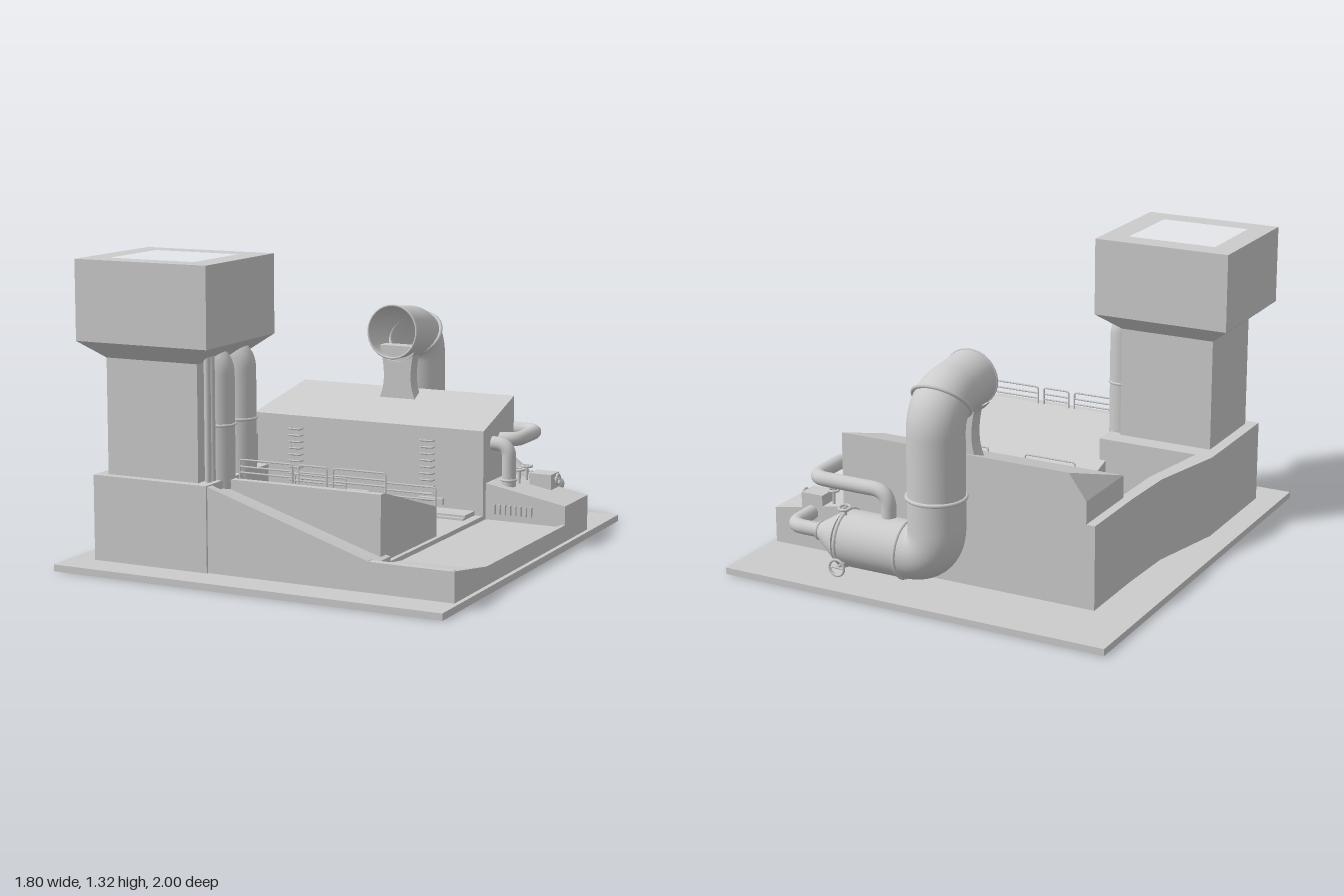
import * as THREE from 'three';
import { ConvexGeometry } from 'three/addons/geometries/ConvexGeometry.js';

const V = (x, y, z) => new THREE.Vector3(x, y, z);

export function createModel() {
  const root = new THREE.Group();
  const grey = new THREE.MeshStandardMaterial({ color: 0xcccccc });
  const thin = new THREE.MeshStandardMaterial({ color: 0xcccccc, side: THREE.DoubleSide });

  const add = (name, geo, mat = grey) => {
    const m = new THREE.Mesh(geo, mat);
    m.name = name;
    root.add(m);
    return m;
  };
  const box = (name, x0, x1, y0, y1, z0, z1) =>
    add(name, new THREE.BoxGeometry(x1 - x0, y1 - y0, z1 - z0)
      .translate((x0 + x1) / 2, (y0 + y1) / 2, (z0 + z1) / 2));
  const shapeOf = (pts) => new THREE.Shape(pts.map(([a, b]) => new THREE.Vector2(a, b)));
  const extrude = (shape, depth) => new THREE.ExtrudeGeometry(shape, { depth, bevelEnabled: false });
  // profile in x,y pushed along z
  const alongZ = (name, pts, z0, z1) => add(name, extrude(shapeOf(pts), z1 - z0).translate(0, 0, z0));
  // profile in z,y pushed along x
  const alongX = (name, pts, x0, x1) =>
    add(name, extrude(shapeOf(pts), x1 - x0).rotateY(-Math.PI / 2).translate(x1, 0, 0));
  // plan in x,z pushed up y
  const alongY = (name, pts, y0, y1, hole) => {
    const s = shapeOf(pts.map(([x, z]) => [x, -z]));
    if (hole) s.holes.push(shapeOf(hole.map(([x, z]) => [x, -z])));
    return add(name, extrude(s, y1 - y0).rotateX(-Math.PI / 2).translate(0, y0, 0));
  };
  const rect = (x0, x1, z0, z1) => [[x0, z0], [x1, z0], [x1, z1], [x0, z1]];
  // tube through corner points with rounded bends
  const pipe = (name, pts, r, bend = 0.06, sides = 20, segs = 48) => {
    const p = pts.map((a) => V(...a));
    const path = new THREE.CurvePath();
    let from = p[0];
    for (let i = 1; i < p.length - 1; i++) {
      const a = p[i].clone().add(p[i - 1].clone().sub(p[i]).setLength(bend));
      const b = p[i].clone().add(p[i + 1].clone().sub(p[i]).setLength(bend));
      path.add(new THREE.LineCurve3(from, a));
      path.add(new THREE.QuadraticBezierCurve3(a, p[i], b));
      from = b;
    }
    path.add(new THREE.LineCurve3(from, p[p.length - 1]));
    return add(name, new THREE.TubeGeometry(path, p.length > 2 ? segs : 1, r, sides), thin);
  };
  // cylinder or cone between two points
  const rod = (name, a, b, r0, r1 = r0, sides = 20) => {
    const A = V(...a), B = V(...b), d = B.clone().sub(A);
    const m = add(name, new THREE.CylinderGeometry(r1, r0, d.length(), sides));
    m.position.copy(A).lerp(B, 0.5);
    m.quaternion.setFromUnitVectors(V(0, 1, 0), d.normalize());
    return m;
  };
  const ring = (name, c, axis, r, t) => {
    const m = add(name, new THREE.TorusGeometry(r, t, 8, 32));
    m.position.set(...c);
    m.quaternion.setFromUnitVectors(V(0, 0, 1), V(...axis).normalize());
  };

  box('basePlate', -0.9, 0.9, 0, 0.03, -1, 1);

  // Chimney tower
  box('towerBase', -0.79, -0.24, 0.03, 0.4, 0.31, 0.85);
  box('towerShaft', -0.74, -0.3, 0.4, 0.92, 0.4, 0.81);
  const corners = (x0, x1, y, z0, z1) => rect(x0, x1, z0, z1).map(([x, z]) => V(x, y, z));
  add('towerFlare', new ConvexGeometry([
    ...corners(-0.74, -0.3, 0.9, 0.4, 0.81), ...corners(-0.835, -0.205, 0.975, 0.315, 0.895)]));
  alongY('towerHead', rect(-0.835, -0.205, 0.315, 0.895), 0.975, 1.32, rect(-0.73, -0.32, 0.42, 0.79));
  for (const [z, r] of [[0.66, 0.06], [0.485, 0.065]]) {
    pipe('towerPipe', [[-0.275, 0.25, z], [-0.275, 0.91, z], [-0.42, 0.91, z]], r, 0.07);
    ring('towerPipeCollar', [-0.275, 0.63, z], [0, 1, 0], r, 0.006);
  }
  for (const z of [0.77, 0.735]) rod('thinTowerPipe', [-0.275, 0.39, z], [-0.275, 0.95, z], 0.014, 0.014, 12);

  // Main hall with a sloping roof and a hipped left end
  const hall = (x, h) => [V(x, 0.03, -0.68), V(x, 0.03, -0.33), V(x, h, -0.68), V(x, Math.min(h, 0.5), -0.33)];
  add('hall', new ConvexGeometry([...hall(0.5, 0.61), ...hall(-0.58, 0.61), ...hall(-0.66, 0.5),
    V(-0.66, 0.41, -0.33)]));

  // Left wall following the kinked side
  alongY('leftWall', [[-0.7, -0.68], [-0.7, -0.33], [-0.71, -0.05], [-0.79, 0.31],
    [-0.71, 0.31], [-0.65, -0.05], [-0.64, -0.68]], 0.03, 0.4);
  box('leftWallDoor', -0.66, -0.625, 0.2, 0.28, -0.2, -0.14);
  alongY('courtFloor', [[-0.7, -0.34], [0.5, -0.34], [0.5, 0.64], [-0.74, 0.64], [-0.74, 0.3], [-0.68, -0.05]], 0.03, 0.115);
  box('courtStep', -0.24, 0.46, 0.11, 0.135, -0.34, -0.22);
  box('courtStep', -0.62, 0.46, 0.11, 0.125, -0.34, -0.2);
  box('courtCabinet', -0.46, -0.36, 0.11, 0.18, 0.04, 0.25);
  for (const x of [-0.12, 0.25]) box('hallVent', x - 0.06, x + 0.06, 0.15, 0.18, -0.34, -0.31);

  // Front block with a roof sloping down to the court
  alongX('frontBlock', [[0.13, 0.03], [0.13, 0.245], [0.645, 0.4], [0.68, 0.4], [0.68, 0.03]], -0.27, 0.48);
  pipe('drainPipe', [[-0.28, 0.18, 0.2], [-0.28, 0.18, 0.08], [-0.28, 0.11, 0.08]], 0.03, 0.04);
  for (const x of [-0.2, 0.07, 0.22]) box('rearVent', x - 0.05, x + 0.05, 0.17, 0.2, 0.105, 0.14);

  // Railings
  const railing = (x0, x1, y, z) => {
    const t = 0.004;
    pipe('railingFrame', [[x0, y, z], [x0, y + 0.08, z], [x1, y + 0.08, z], [x1, y, z]], t, 0.012, 6, 40);
    for (const h of [0.025, 0.05]) rod('railingBar', [x0, y + h, z], [x1, y + h, z], t, t, 6);
  };
  for (const [x0, x1] of [[-0.2, 0.05], [0.08, 0.21], [0.24, 0.48]]) {
    railing(x0, x1, 0.4, 0.635);
    if (x1 !== 0.21) railing(x0, x1, 0.25, 0.14);
  }

  // Ladder rungs on the hall front
  for (const x of [-0.44, 0.23]) for (let i = 0; i < 11; i++) {
    const y = 0.14 + i * 0.03;
    pipe('ladderRung', [[x - 0.03, y, -0.34], [x - 0.03, y, -0.305], [x + 0.03, y, -0.305], [x + 0.03, y, -0.34]],
      0.0045, 0.01, 6, 16);
  }

  // Sloping front apron and right terrace
  alongZ('frontApron', [[-0.24, 0.03], [0.5, 0.03], [0.5, 0.135], [-0.24, 0.365]], 0.63, 0.81);
  alongZ('frontApronLip', [[-0.24, 0.03], [0.5, 0.03], [0.5, 0.16], [-0.24, 0.395]], 0.8, 0.84);
  alongX('rightTerrace', [[-0.36, 0.03], [-0.36, 0.095], [0.52, 0.095], [0.82, 0.135], [0.82, 0.03]], 0.49, 0.87);
  alongX('rightTerraceLip', [[-0.36, 0.03], [-0.36, 0.105], [0.52, 0.11], [0.84, 0.16], [0.84, 0.03]], 0.86, 0.88);
  box('frontTerraceLip', 0.5, 0.87, 0.03, 0.158, 0.805, 0.84);

  // Side shed with a grille
  alongZ('sideShed', [[0.49, 0.03], [0.88, 0.03], [0.88, 0.19], [0.49, 0.262]], -0.64, -0.36);
  for (let i = 0; i < 8; i++) box('grilleSlat', 0.54 + i * 0.025, 0.55 + i * 0.025, 0.125, 0.17, -0.365, -0.345);

  // Large duct rising behind the hall and turning forward
  pipe('largeDuct', [[0.4, 0.2, -0.815], [-0.04, 0.2, -0.815], [-0.04, 0.86, -0.815], [-0.04, 0.892, -0.515]],
    0.122, 0.13, 36, 100);
  rod('ductReducer', [0.4, 0.2, -0.815], [0.53, 0.2, -0.805], 0.122, 0.04, 36);
  ring('ductFlange', [-0.04, 0.46, -0.815], [0, 1, 0], 0.124, 0.009);
  ring('ductFlange', [0.1, 0.2, -0.815], [1, 0, 0], 0.123, 0.008);
  ring('ductFlange', [0.39, 0.2, -0.815], [1, 0, 0], 0.123, 0.008);
  ring('ductFlange', [-0.04, 0.855, -0.765], [0, 0.7, 0.7], 0.126, 0.009);
  ring('ductMouthRim', [-0.04, 0.892, -0.515], [0, 0.1, 1], 0.122, 0.005);

  // Flared stand under the duct mouth
  const stand = new THREE.Shape();
  stand.moveTo(-0.145, 0.55);
  stand.quadraticCurveTo(-0.08, 0.64, -0.13, 0.82);
  stand.lineTo(0.05, 0.82);
  stand.quadraticCurveTo(0, 0.64, 0.065, 0.55);
  add('ductStand', extrude(stand, 0.07).translate(0, 0, -0.64));
  const saddle = add('ductSaddle', new THREE.CylinderGeometry(0.132, 0.132, 0.1, 24, 1, true, -1, 2), thin);
  saddle.rotation.x = Math.PI / 2;
  saddle.rotation.z = Math.PI;
  saddle.position.set(-0.04, 0.882, -0.605);
  saddle.rotation.set(Math.PI / 2, 0, 0);
  saddle.scale.z = -1 * Math.sign(-1);

  // Service pipes on the right side
  pipe('wallPipe', [[0.48, 0.43, -0.435], [0.58, 0.43, -0.435], [0.58, 0.22, -0.435]], 0.032, 0.06);
  pipe('loopPipe', [[0.2, 0.28, -0.8], [0.2, 0.435, -0.8], [0.575, 0.435, -0.8], [0.575, 0.435, -0.525],
    [0.48, 0.435, -0.525]], 0.032, 0.075, 20, 90);
  pipe('feedPipe', [[0.5, 0.2, -0.805], [0.69, 0.2, -0.805], [0.69, 0.2, -0.6]], 0.032, 0.07);
  ring('pipeCollar', [0.58, 0.27, -0.435], [0, 1, 0], 0.033, 0.006);
  ring('pipeCollar', [0.54, 0.2, -0.805], [1, 0, 0], 0.036, 0.007);
  box('valveBox', 0.635, 0.74, 0.18, 0.285, -0.64, -0.545);

  // Valve handwheels
  const valve = (a, b, r) => {
    const axis = b.map((v, i) => v - a[i]);
    rod('valveStem', a, b, 0.007, 0.007, 8);
    ring('valveWheel', b, axis, r, 0.006);
    const side = V(...axis).cross(Math.abs(axis[1]) > 0.02 ? V(1, 0, 0) : V(0, 1, 0)).setLength(r);
    const e = V(...b);
    rod('valveSpoke', e.clone().add(side).toArray(), e.clone().sub(side).toArray(), 0.004, 0.004, 6);
  };
  valve([0.73, 0.26, -0.59], [0.755, 0.26, -0.59], 0.022);
  valve([0.36, 0.12, -0.9], [0.36, 0.12, -0.965], 0.035);
  valve([0.38, 0.3, -0.85], [0.38, 0.35, -0.86], 0.024);
  for (const z of [-0.51, -0.6]) valve([0.6, 0.23, z], [0.6, 0.305, z], 0.022);

  return root;
}
